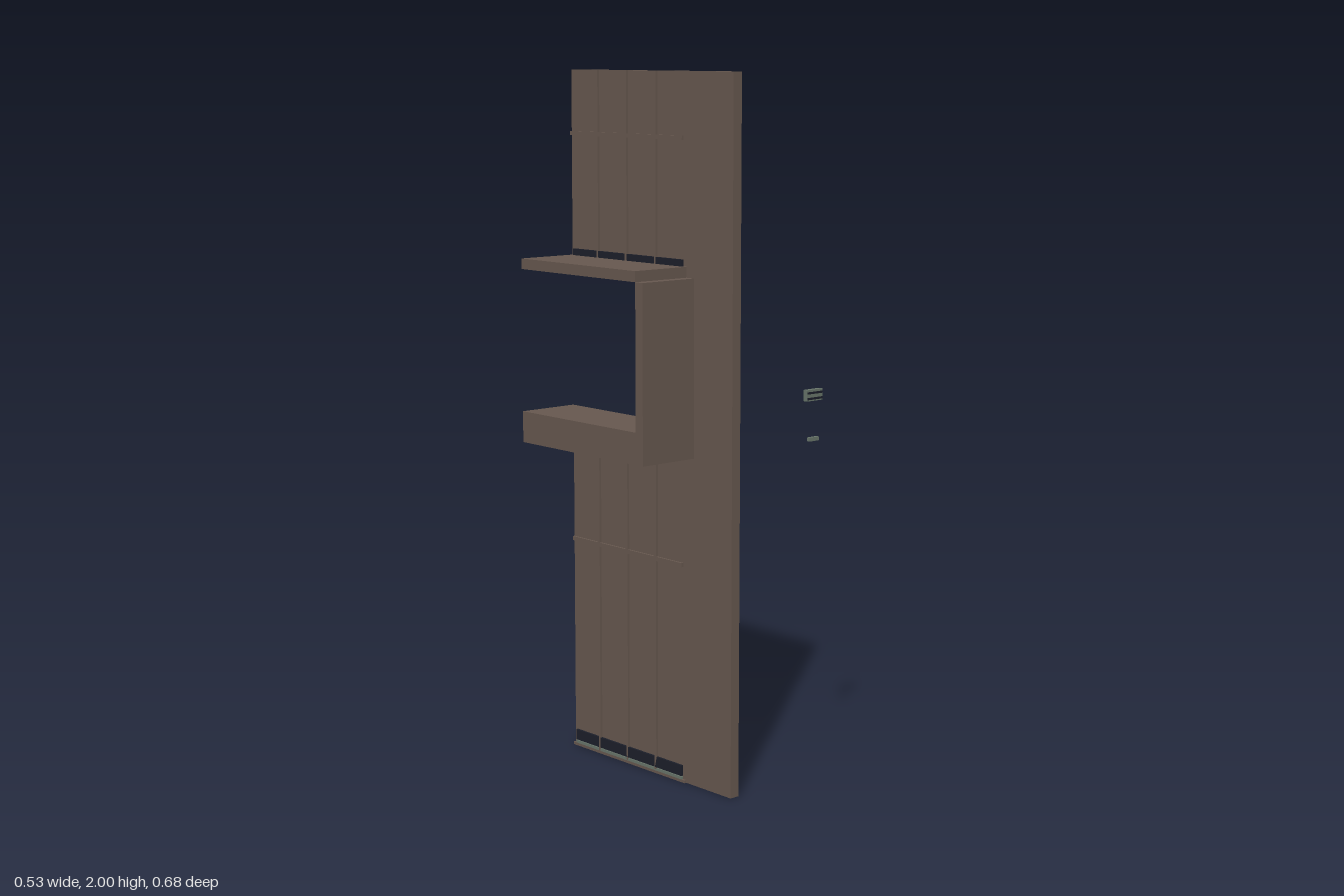
import * as THREE from 'three';

export function createModel() {
  const model = new THREE.Group();
  const mat = (name, color) => {
    const m = new THREE.MeshStandardMaterial({ color });
    m.name = name;
    return m;
  };
  const brown = mat('brown panel', 0x67584f);
  const metal = mat('grey green metal', 0x68756a);
  const dark = mat('dark trim', 0x1c1f2a);
  const lime = mat('lime line', 0x7d9420);

  // Box given by its minimum and maximum on each axis
  const box = (name, material, x0, x1, y0, y1, z0, z1) => {
    const mesh = new THREE.Mesh(new THREE.BoxGeometry(x1 - x0, y1 - y0, z1 - z0), material);
    mesh.position.set((x0 + x1) / 2, (y0 + y1) / 2, (z0 + z1) / 2);
    mesh.name = name;
    model.add(mesh);
  };

  // Wall: one upright panel with an opening at the back edge
  const wall = new THREE.Shape();
  [[-0.34, 0], [0.34, 0], [0.34, 2], [-0.34, 2], [-0.34, 1.44], [0.155, 1.44], [0.155, 0.94], [-0.34, 0.94]]
    .forEach(([z, y], i) => (i ? wall.lineTo(-z, y) : wall.moveTo(-z, y)));
  const wallMesh = new THREE.Mesh(new THREE.ExtrudeGeometry(wall, { depth: 0.03, bevelEnabled: false }), brown);
  wallMesh.rotation.y = Math.PI / 2;
  wallMesh.position.x = -0.081;
  wallMesh.name = 'wall';
  model.add(wallMesh);

  // Battens, cross bars, skirting and base plates on both faces of each wall section
  const sections = [
    { bottom: 0, top: 0.94, bar: 0.632, rail: 0.755 },
    { bottom: 1.44, top: 2, bar: 1.82, rail: 1.883 },
  ];
  for (const { bottom, top, bar, rail } of sections) {
    box('basePlate', brown, -0.088, -0.044, bottom, bottom + 0.008, -0.342, 0.155);
    for (const [x0, x1] of [[-0.088, -0.081], [-0.051, -0.044]]) {
      for (const z of [-0.22, -0.095, 0.03]) {
        box('lowerBatten', brown, x0, x1, bottom + 0.008, bar - 0.006, z - 0.004, z + 0.004);
        box('upperBatten', brown, x0, x1, bar + 0.006, top, z - 0.004, z + 0.004);
      }
      box('crossBar', brown, x0, x1, bar - 0.006, bar + 0.006, -0.34, 0.142);
      box('skirting', dark, x0, x1, bottom + 0.018, bottom + 0.049, -0.33, 0.142);
      box('skirtingEdge', metal, x0, x1, bottom + 0.008, bottom + 0.016, -0.33, 0.142);
    }
    // Pair of hand rails standing off the wall
    box('innerRail', metal, -0.042, -0.032, rail + 0.016, rail + 0.026, -0.332, 0.142);
    box('outerRail', metal, -0.028, -0.02, rail, rail + 0.009, -0.332, 0.142);
  }
  box('skirtingLine', lime, -0.044, -0.043, 0.024, 0.029, -0.33, 0.142);

  // Recess around the opening
  box('recessTop', brown, -0.267, -0.081, 1.44, 1.47, -0.342, 0.155);
  box('recessBench', brown, -0.267, -0.081, 0.94, 1.03, -0.342, 0.155);
  box('recessFront', brown, -0.267, -0.081, 0.94, 1.44, 0.155, 0.185);
  box('ledge', brown, -0.052, 0.011, 0.94, 0.984, -0.281, 0.092);

  // Small detached control box and tab
  box('controlBox', metal, 0.205, 0.266, 1.088, 1.12, 0.325, 0.339);
  for (const y of [1.095, 1.111]) {
    box('controlStripe', dark, 0.207, 0.264, y - 0.003, y + 0.003, 0.338, 0.341);
  }
  box('controlTab', metal, 0.216, 0.252, 0.974, 0.985, 0.33, 0.34);

  return model;
}
